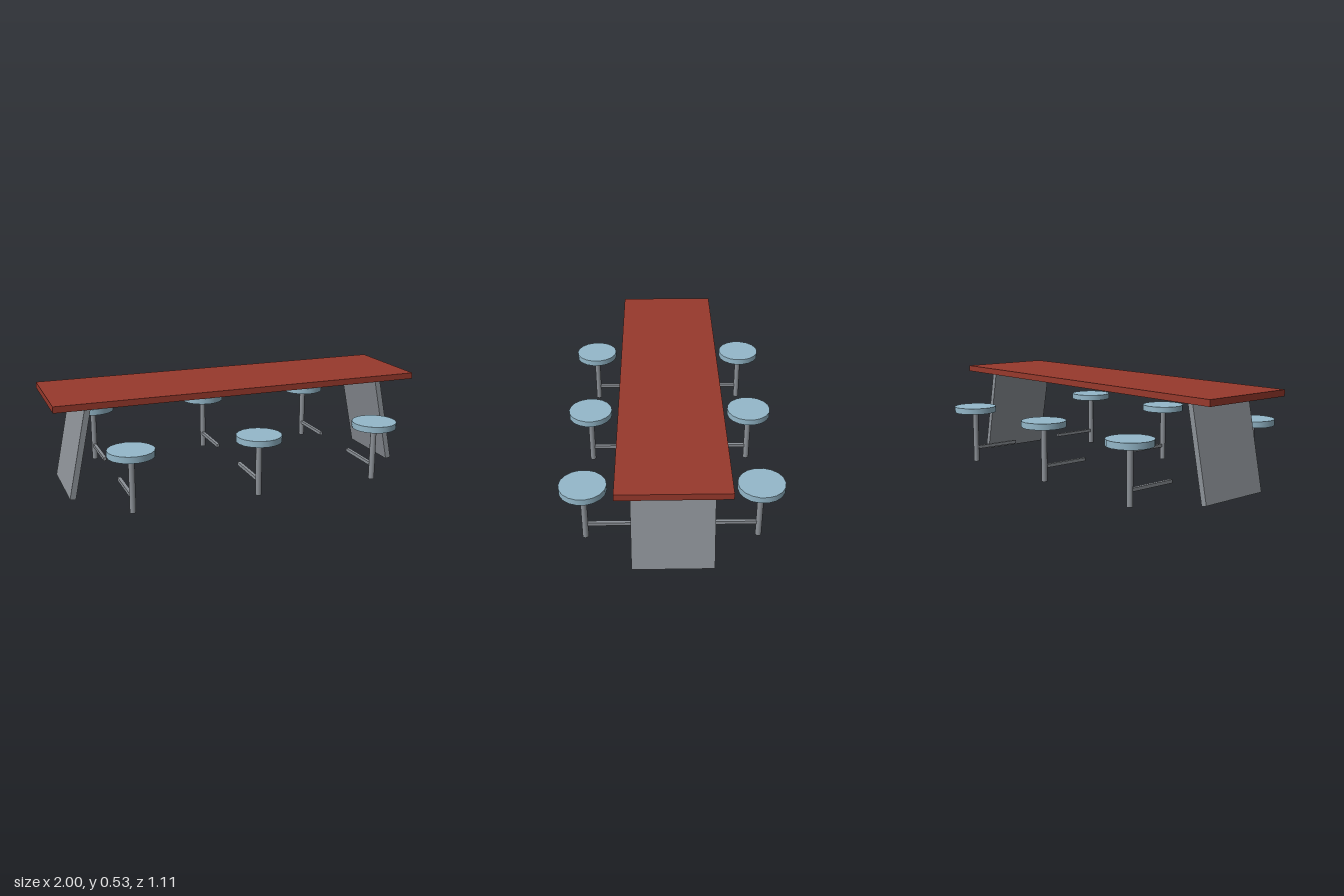
import * as THREE from 'three';

export function createModel() {
  const model = new THREE.Group();
  const material = (name, color) => {
    const m = new THREE.MeshStandardMaterial({ color });
    m.name = name;
    return m;
  };
  const red = material('table red', 0x98392c);
  const blue = material('seat blue', 0x94b8ca);
  const grey = material('metal grey', 0x8c9197);

  const add = (parent, name, geometry, mat, x, y, z) => {
    const mesh = new THREE.Mesh(geometry, mat);
    mesh.name = name;
    mesh.position.set(x, y, z);
    parent.add(mesh);
    return mesh;
  };

  // Long tabletop
  add(model, 'tabletop', new THREE.BoxGeometry(2, 0.033, 0.534), red, 0, 0.509, 0);

  // Panel legs, splayed outward at the ends
  const legGeometry = new THREE.BoxGeometry(0.03, 0.49, 0.4);
  for (const side of [-1, 1]) {
    const leg = add(model, side > 0 ? 'leftLeg' : 'rightLeg', legGeometry, grey, side * 0.867, 0.252, 0);
    leg.rotation.z = side * 0.205;
  }

  // Six stools, each with a bar reaching under the table
  const seatGeometry = new THREE.CylinderGeometry(0.118, 0.118, 0.033, 18);
  const postGeometry = new THREE.CylinderGeometry(0.016, 0.016, 0.3, 12);
  const barGeometry = new THREE.BoxGeometry(0.018, 0.018, 0.265);
  for (const side of [-1, 1]) {
    for (const x of [-0.667, 0, 0.667]) {
      const stool = new THREE.Group();
      stool.name = side > 0 ? 'frontStool' : 'backStool';
      stool.position.set(x, 0, side * 0.436);
      add(stool, 'seat', seatGeometry, blue, 0, 0.309, 0);
      add(stool, 'post', postGeometry, grey, 0, 0.15, 0);
      add(stool, 'supportBar', barGeometry, grey, 0, 0.081, -side * 0.14);
      model.add(stool);
    }
  }
  return model;
}
